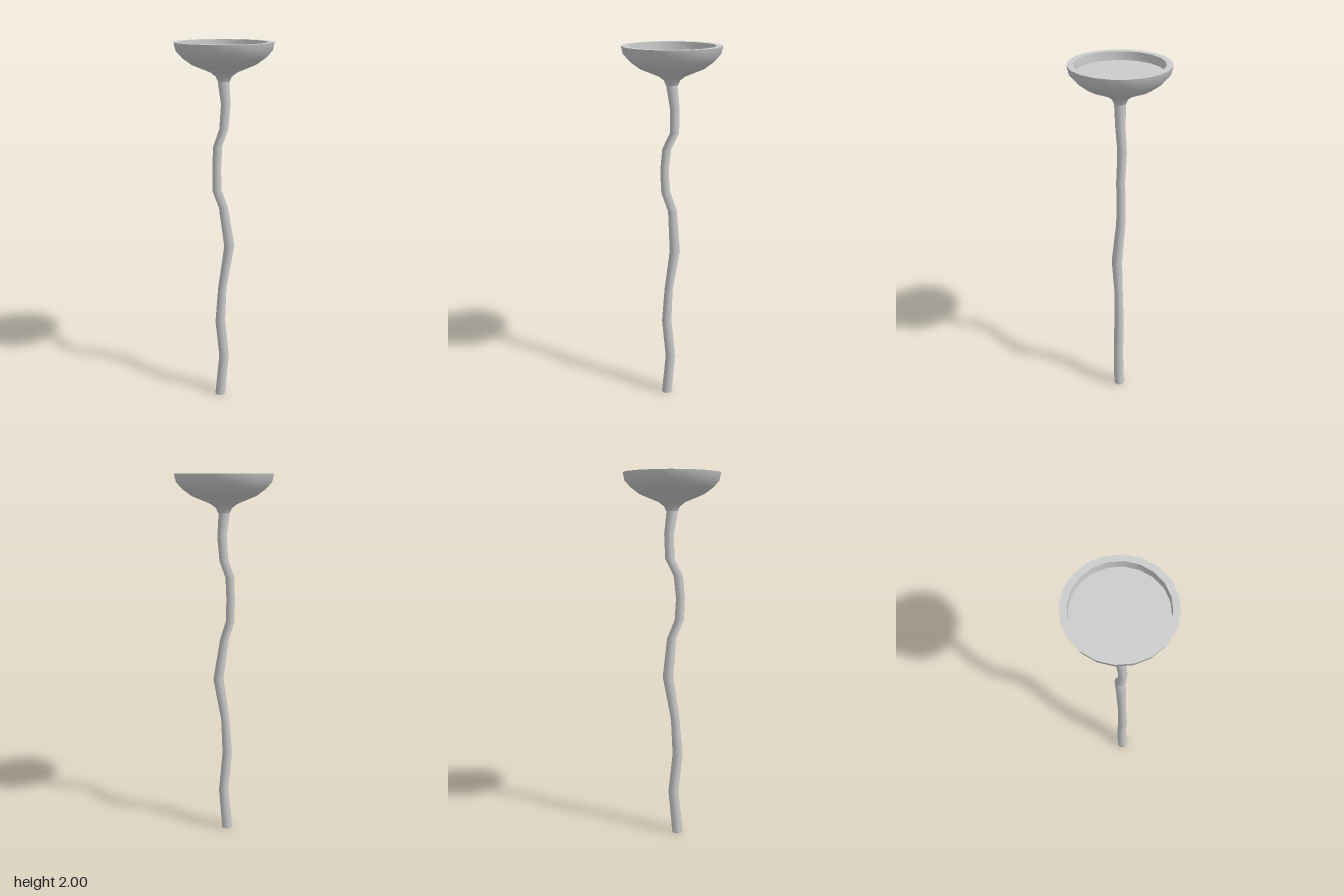
import * as THREE from 'three';
import { toCreasedNormals } from 'three/addons/utils/BufferGeometryUtils.js';

// Stem rings: height, centre x, centre z, radius
const RINGS = [
  [0, -0.03, 0.01, 0.03],
  [0.24, -0.005, 0.01, 0.028],
  [0.46, -0.03, 0.01, 0.028],
  [0.66, -0.016, 0.01, 0.024],
  [0.9, 0.028, 0.013, 0.029],
  [1.12, 0, -0.004, 0.025],
  [1.22, -0.042, 0, 0.025],
  [1.34, -0.047, 0.004, 0.024],
  [1.46, -0.037, -0.003, 0.025],
  [1.55, 0.008, -0.012, 0.025],
  [1.68, 0.015, -0.004, 0.026],
  [1.81, -0.003, 0, 0.031],
];

// A unit cylinder whose rows are moved onto the crooked rings
function stemGeometry() {
  const last = RINGS.length - 1;
  const geo = new THREE.CylinderGeometry(1, 1, 1, 10, last);
  const pos = geo.attributes.position;
  for (let i = 0; i < pos.count; i++) {
    const [y, cx, cz, r] = RINGS[Math.round((pos.getY(i) + 0.5) * last)];
    pos.setXYZ(i, cx + pos.getX(i) * r, y, cz + pos.getZ(i) * r);
  }
  return geo;
}

// Flared underside, rim, inner wall and floor in one turned profile
function dishGeometry() {
  const profile = [
    [0.031, 1.8], [0.042, 1.825], [0.07, 1.847], [0.17, 1.888],
    [0.217, 1.922], [0.25, 1.958], [0.26, 2],
    [0.227, 2], [0.225, 1.955], [0, 1.955],
  ].map(([r, y]) => new THREE.Vector2(r, y));
  return toCreasedNormals(new THREE.LatheGeometry(profile, 20), 0.8);
}

export function createModel() {
  const group = new THREE.Group();
  group.name = 'crookedStemDish';
  const material = new THREE.MeshStandardMaterial({ color: 0xcccccc });
  const add = (name, geometry) => {
    const mesh = new THREE.Mesh(geometry, material);
    mesh.name = name;
    group.add(mesh);
  };
  add('stem', stemGeometry());
  add('dish', dishGeometry());
  return group;
}
